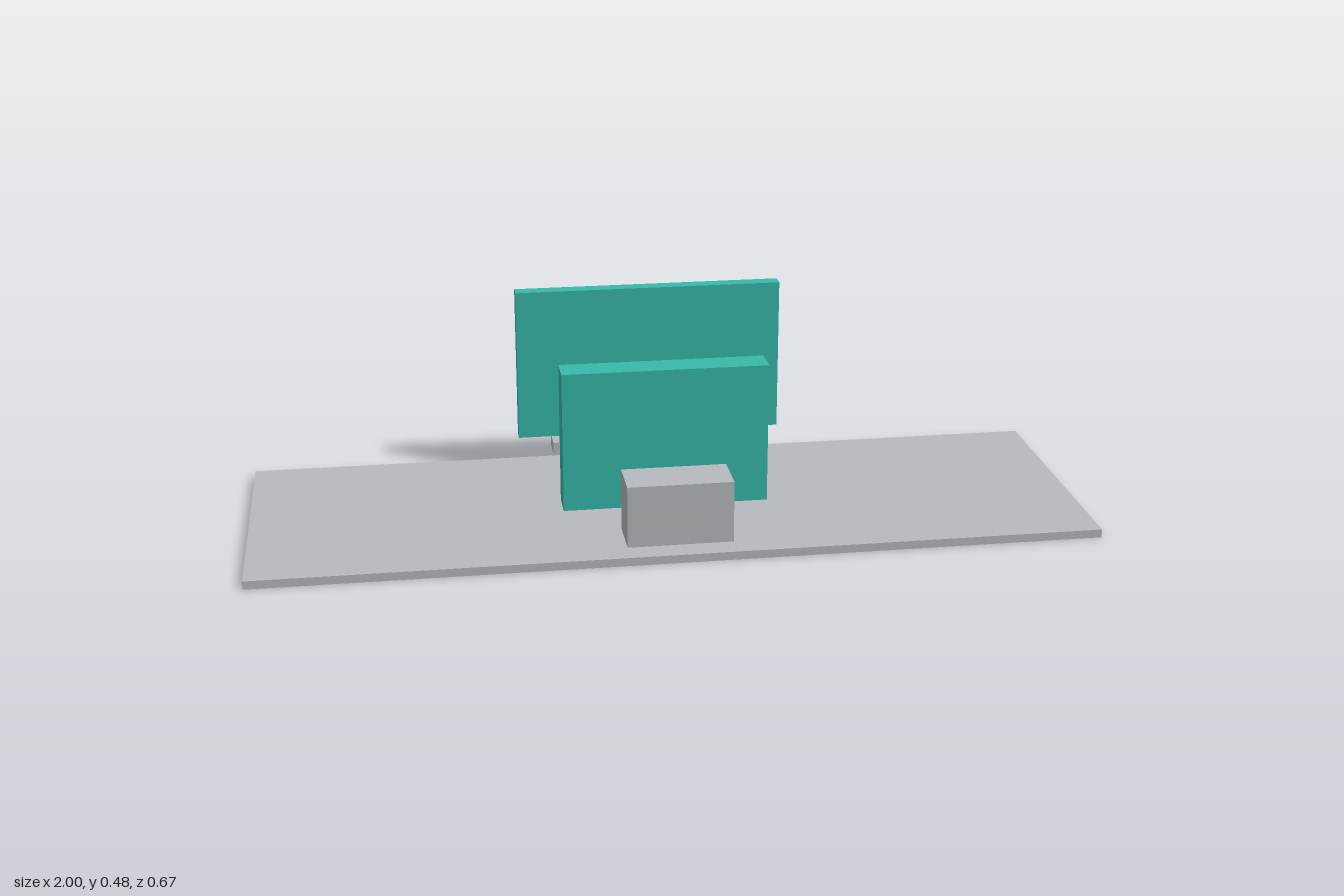
import * as THREE from 'three';

export function createModel() {
  const group = new THREE.Group();
  const mat = (name, color) => {
    const m = new THREE.MeshStandardMaterial({ color });
    m.name = name;
    return m;
  };
  const grey = mat('light grey', 0xb6bbbf);
  const teal = mat('teal', 0x38b9aa);
  const slate = mat('slate blue', 0x4d6b7d);

  // Box centred on x = 0, given its half width and its y and z ranges
  const box = (name, material, halfWidth, y0, y1, z0, z1) => {
    const mesh = new THREE.Mesh(new THREE.BoxGeometry(2 * halfWidth, y1 - y0, z1 - z0), material);
    mesh.name = name;
    mesh.position.set(0, (y0 + y1) / 2, (z0 + z1) / 2);
    group.add(mesh);
  };

  // Ground slab with the block and the upright panel standing on it
  box('baseSlab', grey, 1, 0, 0.02, -0.333, 0.333);
  box('frontBlock', grey, 0.125, 0.02, 0.17, 0.161, 0.275);
  box('middlePanel', teal, 0.25, 0.02, 0.368, -0.037, 0.037);

  // Raised display on its floating ledge, screen facing the back
  box('ledge', grey, 0.25, 0.069, 0.1, -0.289, -0.216);
  box('displayPanel', teal, 0.333, 0.1, 0.483, -0.3, -0.264);
  box('screen', slate, 0.273, 0.19, 0.428, -0.303, -0.3);

  return group;
}
